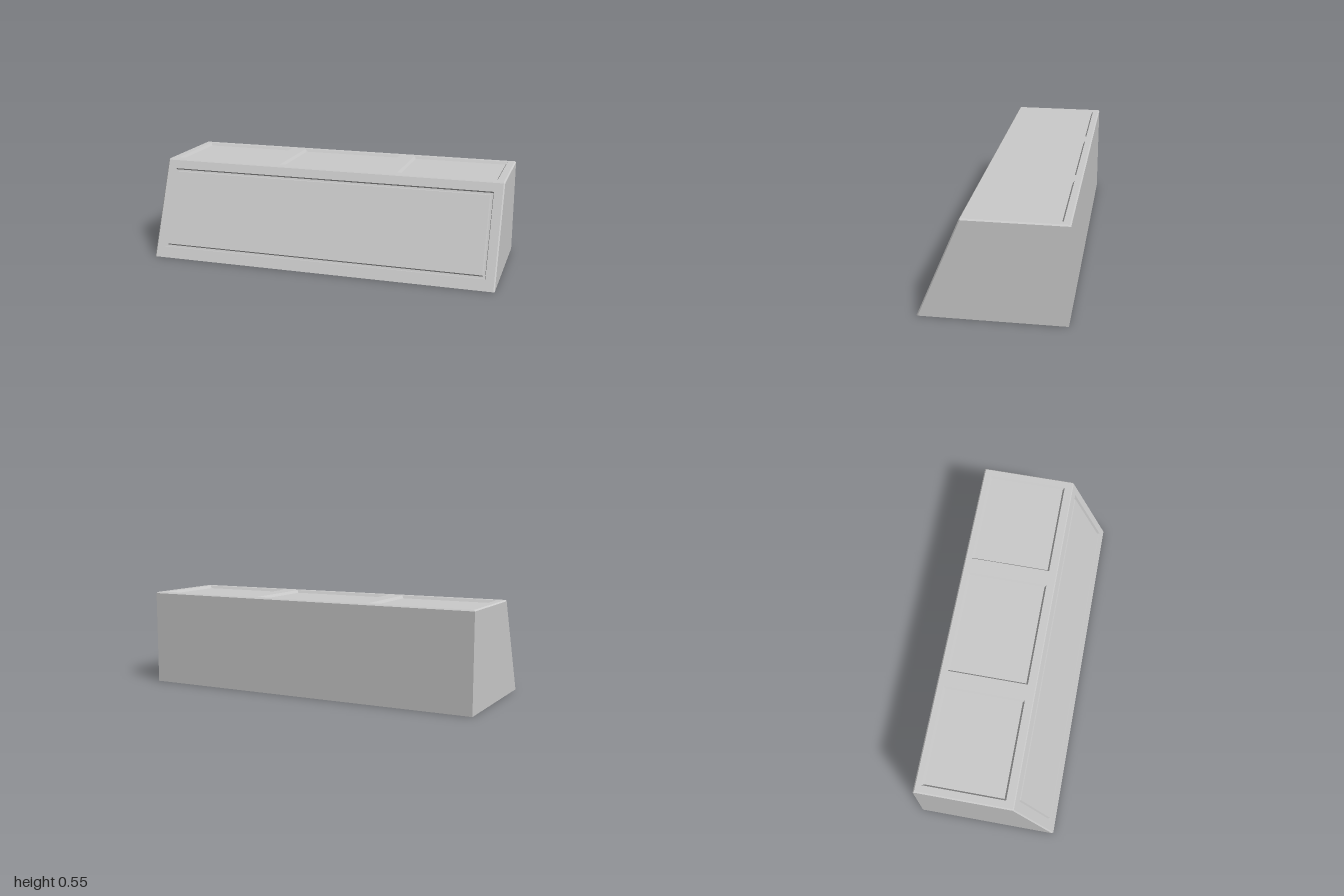
import * as THREE from 'three';

const material = new THREE.MeshStandardMaterial({ color: 0xcccccc, flatShading: true });

// Polygons given as corner lists, counter-clockwise from outside
function facets(name, polygons) {
  const pos = [];
  for (const p of polygons)
    for (let i = 1; i < p.length - 1; i++) pos.push(...p[0], ...p[i], ...p[i + 1]);
  const geo = new THREE.BufferGeometry();
  geo.setAttribute('position', new THREE.Float32BufferAttribute(pos, 3));
  geo.computeVertexNormals();
  const mesh = new THREE.Mesh(geo, material);
  mesh.name = name;
  return mesh;
}

// Rectangle corners [x0, y0, x1, y1] inset by i, at height d
function rect([x0, y0, x1, y1], i = 0, d = 0) {
  return [[x0 + i, y0 + i, d], [x1 - i, y0 + i, d], [x1 - i, y1 - i, d], [x0 + i, y1 - i, d]];
}

// Band of four faces between an outer and an inner rectangle
function band(a, b) {
  return a.map((p, i) => [p, a[(i + 1) % 4], b[(i + 1) % 4], b[i]]);
}

// Flat plate with rectangular openings
function plate(name, outer, holes) {
  const toPath = (r, P) => new P(rect(r).map(([x, y]) => new THREE.Vector2(x, y)));
  const shape = toPath(outer, THREE.Shape);
  shape.holes = holes.map((h) => toPath(h, THREE.Path));
  const mesh = new THREE.Mesh(new THREE.ShapeGeometry(shape), material);
  mesh.name = name;
  return mesh;
}

// Inset panel from a list of [inset, height] steps, closed by its floor
function panel(name, r, steps) {
  const loops = steps.map(([i, d]) => rect(r, i, d));
  const polys = [loops[loops.length - 1]];
  for (let i = 0; i < loops.length - 1; i++) polys.push(...band(loops[i], loops[i + 1]));
  return facets(name, polys);
}

export function createModel() {
  const model = new THREE.Group();
  const X = 1, xi = 0.993;               // half width, and inside the bevel
  const yT = 0.545, yB = 0.538;          // top, and bottom of its bevel
  const zF = 0.387, zU = 0.157, zBack = -0.387; // front foot, front top, back
  const zT = 0.151, zTB = -0.38;         // top face limits

  // Closed body: back, underside, sides and their bevels
  const shell = [
    [[X, 0, zBack], [-X, 0, zBack], [-X, yB, zBack], [X, yB, zBack]],
    [[-X, 0, zBack], [X, 0, zBack], [X, 0, zF - 0.007], [-X, 0, zF - 0.007]],
    [[-X, 0, zF - 0.007], [X, 0, zF - 0.007], [xi, 0, zF], [-xi, 0, zF]],
    [[-X, yB, zBack], [-xi, yT, zTB], [xi, yT, zTB], [X, yB, zBack]],
    [[-xi, yB, zU], [xi, yB, zU], [xi, yT, zT], [-xi, yT, zT]],
  ];
  const side = [
    [[X, 0, zF - 0.007], [X, 0, zBack], [X, yB, zBack], [X, yB, zU - 0.007]],
    [[xi, 0, zF], [X, 0, zF - 0.007], [X, yB, zU - 0.007], [xi, yB, zU]],
    [[X, yB, zU - 0.007], [X, yB, zBack], [xi, yT, zTB], [xi, yT, zT]],
    [[xi, yB, zU], [X, yB, zU - 0.007], [xi, yT, zT]],
  ];
  const mirrored = side.map((p) => p.map(([x, y, z]) => [-x, y, z]).reverse());
  model.add(facets('body', [...shell, ...side, ...mirrored]));

  // Top with three sunken panels
  const top = new THREE.Group();
  top.name = 'top';
  top.rotation.x = -Math.PI / 2;
  top.position.y = yT;
  const openings = [[-0.955, -0.395], [-0.305, 0.305], [0.395, 0.955]]
    .map(([a, b]) => [a, -0.108, b, 0.347]);
  top.add(plate('topFrame', [-xi, -zT, xi, -zTB], openings));
  openings.forEach((r, i) => top.add(panel('topPanel' + (i + 1), r, [[0, 0], [0.01, -0.015]])));
  model.add(top);

  // Sloping front with a grooved panel
  const front = new THREE.Group();
  front.name = 'front';
  const slope = Math.hypot(yB, zF - zU);
  front.rotation.x = -Math.atan2(zF - zU, yB);
  front.position.z = zF;
  const opening = [-0.945, 0.064, 0.945, 0.536];
  front.add(plate('frontFrame', [-xi, 0, xi, slope], [opening]));
  front.add(panel('frontPanel', opening, [[0, 0], [0.004, -0.015], [0.014, -0.015], [0.019, -0.002]]));
  model.add(front);

  return model;
}
